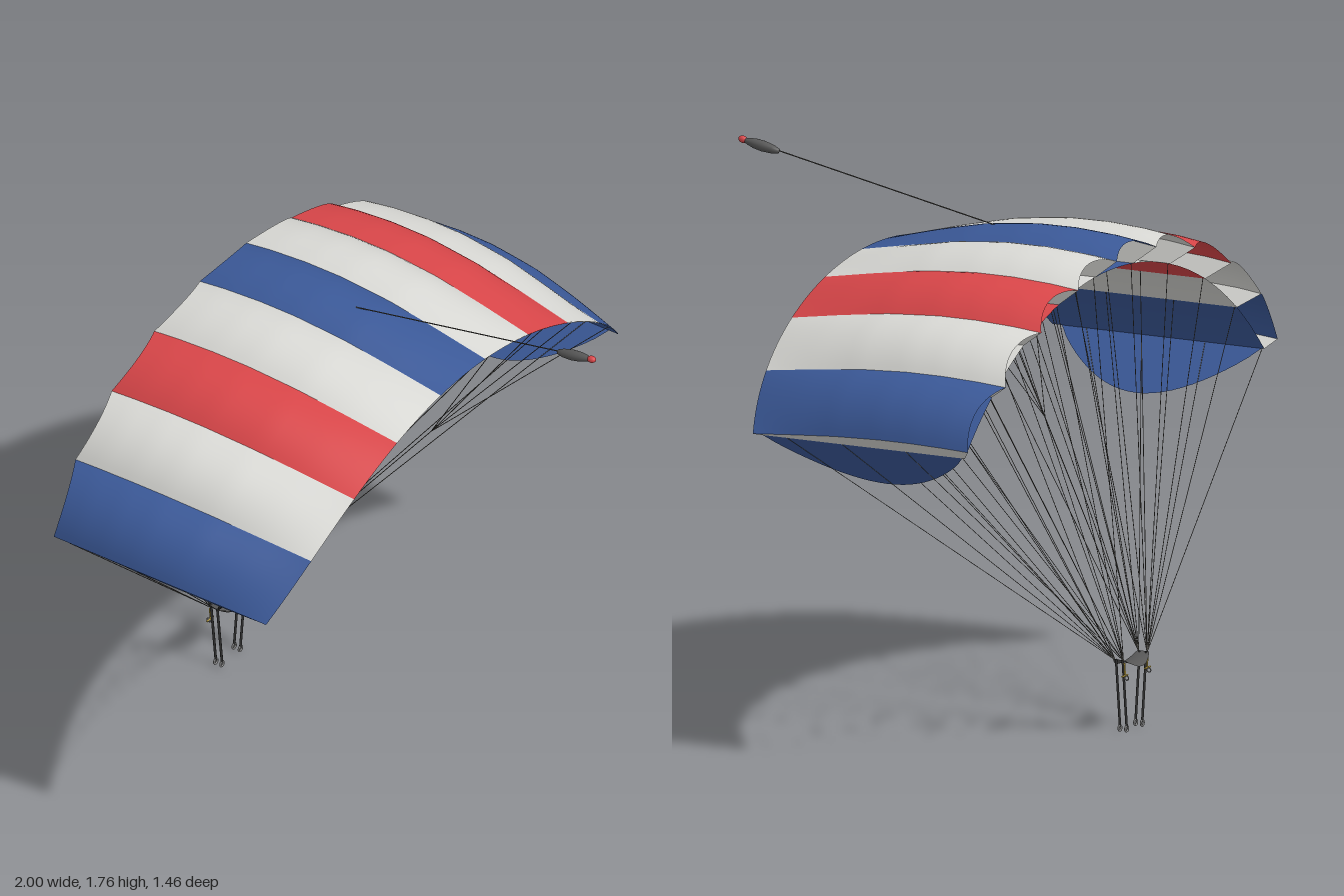
import * as THREE from 'three';

const mat = (name, color, side = THREE.FrontSide) => {
  const m = new THREE.MeshStandardMaterial({ color, side });
  m.name = name;
  return m;
};

// Canopy layout: nine equal cells on a circular arch, nose at -z
const R = 1.266, ARCH_Y = 0.209, CELL = 0.19, TIP = CELL * 4.5;
const THICK = [[0, 0.06], [0.1, 0.072], [0.25, 0.081], [0.4, 0.081], [0.6, 0.066], [0.8, 0.036], [1, 0.002]];

function thickness(c) {
  let i = 0;
  while (i < THICK.length - 2 && c > THICK[i + 1][0]) i++;
  const [a, ta] = THICK[i], [b, tb] = THICK[i + 1];
  return ta + (tb - ta) * (c - a) / (b - a);
}
const span = a => Math.abs(a) / TIP;
const tailZ = a => 0.215 - 0.08 * span(a) ** 4;
const onArch = (a, r, z) => new THREE.Vector3(Math.sin(a) * r, ARCH_Y + Math.cos(a) * r, z);

// Upper skin: puff is 0 on a rib and 1 in the middle of a cell
function topPoint(a, c, puff) {
  const nose = -0.71 + 0.03 * puff + 0.05 * span(a) ** 6;
  const t = thickness(c) * (1 - 0.27 * span(a) ** 6) + 0.03 * puff * (1 - c ** 3);
  return onArch(a, R + t, nose + (tailZ(a) - nose) * c);
}
function bottomPoint(a, c) {
  return onArch(a, R, -0.63 + (tailZ(a) + 0.63) * c);
}

// Surface from a point function over u, v in 0..1
function grid(fn, nu, nv) {
  const pos = [], idx = [];
  for (let i = 0; i <= nu; i++) for (let j = 0; j <= nv; j++) pos.push(...fn(i / nu, j / nv).toArray());
  for (let i = 0; i < nu; i++) for (let j = 0; j < nv; j++) {
    const a = i * (nv + 1) + j, b = a + nv + 1;
    idx.push(a, a + 1, b, b, a + 1, b + 1);
  }
  const g = new THREE.BufferGeometry();
  g.setAttribute('position', new THREE.Float32BufferAttribute(pos, 3));
  g.setIndex(idx);
  g.computeVertexNormals();
  return g;
}

export function createModel() {
  const model = new THREE.Group();
  model.name = 'parachute';
  const D = THREE.DoubleSide;
  const white = mat('white cloth', 0xd9d9d5, D);
  const red = mat('red cloth', 0xd94649, D);
  const blue = mat('blue cloth', 0x3b5998, D);
  const grey = mat('grey cloth', 0x585858, D);
  const dark = mat('dark webbing', 0x303030);
  const cord = mat('cord', 0x55534e);
  const yellow = mat('yellow toggle', 0xc9ac45);
  const metal = mat('ring metal', 0x8a8a8a);

  const group = name => {
    const g = new THREE.Group();
    g.name = name;
    model.add(g);
    return g;
  };
  const add = (parent, name, geo, material) => {
    const m = new THREE.Mesh(geo, material);
    m.name = name;
    parent.add(m);
    return m;
  };
  const rod = (parent, name, a, b, r, material, sides = 4) => {
    const m = add(parent, name, new THREE.CylinderGeometry(r, r, a.distanceTo(b), sides), material);
    m.position.copy(a).add(b).multiplyScalar(0.5);
    m.quaternion.setFromUnitVectors(new THREE.Vector3(0, 1, 0), b.clone().sub(a).normalize());
    return m;
  };
  const V = (x, y, z) => new THREE.Vector3(x, y, z);

  // Cells: puffed upper skin and flat lower skin, open at the nose
  const canopy = group('canopy');
  const colours = [blue, white, red, white, blue];
  for (let k = -4; k <= 4; k++) {
    const material = colours[Math.abs(k)];
    const angle = s => (k - 0.5 + s) * CELL;
    add(canopy, 'upperSkin', grid((s, c) => topPoint(angle(s), c, 4 * s * (1 - s)), 14, 28), material);
    add(canopy, 'lowerSkin', grid((s, c) => bottomPoint(angle(1 - s), c), 6, 8), material);
  }
  // Ribs between the cells and closing both tips
  for (let k = 0; k < 10; k++) {
    const a = (k - 4.5) * CELL;
    add(canopy, 'rib', grid((c, t) => bottomPoint(a, c).lerp(topPoint(a, c, 0), t), 28, 1), white);
  }

  // Stabilizer panels hanging from the tips, in line with the suspension lines
  for (const side of [-1, 1]) {
    const top = onArch(side * TIP, R, 0);
    add(model, 'stabilizer', grid((u, v) => {
      const drop = 0.222 * Math.pow(Math.sin(Math.PI * u), 0.85) * v;
      return V(top.x - side * 0.738 * drop, top.y - 0.675 * drop, -0.62 + 0.72 * u);
    }, 24, 2), blue);
  }

  // Suspension and brake lines
  const lines = group('lines');
  const CORD = 0.0013;
  for (const side of [-1, 1]) {
    const front = V(side * 0.075, 0.235, -0.705), rear = V(side * 0.075, 0.235, -0.675);
    for (let k = 0; k < 5; k++) {
      const a = side * (k + 0.5) * CELL;
      [0.01, 0.28, 0.58, 0.84].forEach((c, i) =>
        rod(lines, 'suspensionLine', i < 2 ? front : rear, bottomPoint(a, c), CORD, cord));
    }
    const fork = V(side * 0.37, 0.88, -0.17);
    rod(lines, 'brakeLine', rear, fork, CORD, cord);
    for (const f of [0.7, 1.7, 2.7, 4]) rod(lines, 'brakeBranch', fork, bottomPoint(side * f * CELL, 0.99), CORD, cord);
  }

  // Slider: small sagging cloth above the risers
  add(model, 'slider', grid((u, v) => {
    const x = u * 2 - 1, w = v * 2 - 1, sag = 1 - x * x;
    return V(x * 0.078, 0.238 - 0.022 * sag - 0.008 * w * w * sag, -0.69 + w * (0.021 + 0.019 * sag));
  }, 12, 8), grey);

  // Risers with rings, toggles and brake guides
  const risers = group('risers');
  for (const side of [-1, 1]) {
    for (const z of [-0.678, -0.702]) {
      rod(risers, 'riser', V(side * 0.05, 0.02, z), V(side * 0.075, 0.238, z), 0.0045, dark, 6);
    }
    for (const z of [-0.678, -0.702]) {
      add(risers, 'riserRing', new THREE.TorusGeometry(0.009, 0.0035, 6, 16), metal).position.set(side * 0.05, 0.0125, z);
    }
    rod(risers, 'toggleBar', V(side * 0.055, 0.187, -0.708), V(side * 0.09, 0.187, -0.708), 0.003, yellow, 6);
    rod(risers, 'toggleStrap', V(side * 0.07, 0.187, -0.708), V(side * 0.074, 0.228, -0.708), 0.003, yellow, 6);
    const guide = add(risers, 'guideRing', new THREE.TorusGeometry(0.007, 0.002, 6, 14), metal);
    guide.position.set(side * 0.071, 0.18, -0.714);
    guide.rotation.y = Math.PI / 2;
  }

  // Pilot chute trailing behind on its bridle
  const pilot = group('pilotChute');
  rod(pilot, 'bridle', V(0, 1.565, -0.22), V(0, 1.727, 0.585), 0.002, cord, 5);
  const profile = [[0, 0], [0.008, 0.004], [0.014, 0.025], [0.0175, 0.06], [0.016, 0.09], [0.011, 0.115], [0.007, 0.128]];
  const along = new THREE.Quaternion().setFromUnitVectors(V(0, 1, 0), V(0, 0.19, 1).normalize());
  const body = add(pilot, 'pilotBody',
    new THREE.LatheGeometry(profile.map(p => new THREE.Vector2(...p)), 16), grey);
  body.position.set(0, 1.724, 0.58);
  body.quaternion.copy(along);
  const cap = add(pilot, 'pilotCap', new THREE.SphereGeometry(0.0115, 14, 10), red);
  cap.scale.set(1, 1.4, 1);
  cap.position.set(0, 1.7495, 0.712);
  cap.quaternion.copy(along);

  return model;
}
